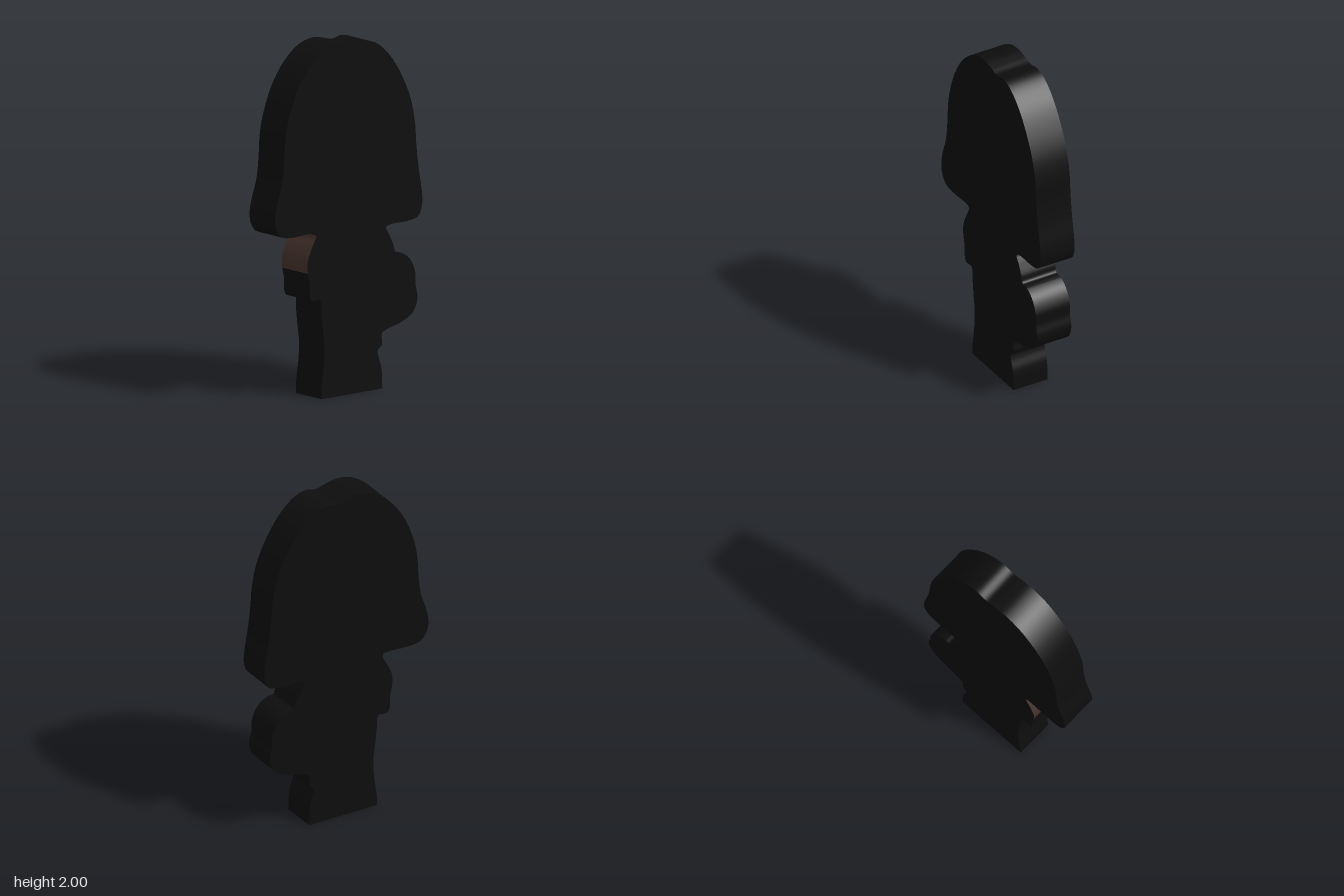
import * as THREE from 'three';
import { toCreasedNormals } from 'three/addons/utils/BufferGeometryUtils.js';

const DEPTH = 0.22;

// Silhouette, walked from the right foot over the hair to the left foot
const rightSide = [
  [-0.2, 0], [-0.199, 0.06], [-0.182, 0.18], [-0.177, 0.29], [-0.19, 0.4], [-0.2, 0.5], [-0.202, 0.55],
  [-0.215, 0.567], [-0.24, 0.565], [-0.267, 0.566], [-0.282, 0.587], [-0.285, 0.66], [-0.3, 0.74],
  [-0.297, 0.8], [-0.27, 0.865], [-0.24, 0.922], [-0.243, 0.943],
];
const hair = [
  [-0.27, 0.95], [-0.42, 0.945], [-0.49, 0.96], [-0.527, 1.01], [-0.535, 1.07], [-0.52, 1.15],
  [-0.487, 1.25], [-0.472, 1.36], [-0.46, 1.52], [-0.43, 1.64], [-0.37, 1.78], [-0.28, 1.9],
  [-0.18, 1.975], [-0.08, 2], [0, 1.988], [0.06, 1.973], [0.13, 1.985], [0.2, 1.965], [0.3, 1.88],
  [0.39, 1.745], [0.45, 1.61], [0.48, 1.47], [0.488, 1.36], [0.505, 1.22], [0.53, 1.07], [0.53, 1],
  [0.505, 0.945], [0.45, 0.927], [0.3, 0.922],
];
const leftSide = [
  [0.27, 0.91], [0.29, 0.87], [0.325, 0.8], [0.337, 0.757], [0.38, 0.75], [0.44, 0.71], [0.48, 0.63],
  [0.483, 0.56], [0.497, 0.48], [0.47, 0.41], [0.4, 0.365], [0.26, 0.327], [0.238, 0.31], [0.24, 0.25],
  [0.21, 0.222], [0.213, 0.19], [0.235, 0.12], [0.242, 0],
];

export function createModel() {
  const black = new THREE.MeshStandardMaterial({ color: 0x0d0d0d });
  black.name = 'black';
  const brown = new THREE.MeshStandardMaterial({ color: 0x42302a });
  brown.name = 'brown';

  const points = [...rightSide, ...hair, ...leftSide].map(([x, y]) => new THREE.Vector3(x, y, 0));
  const curve = new THREE.CatmullRomCurve3(points, false, 'centripetal');
  const outline = curve.getPoints((points.length - 1) * 5).map((p) => new THREE.Vector2(p.x, Math.max(0, p.y)));

  let geometry = new THREE.ExtrudeGeometry(new THREE.Shape(outline), { depth: DEPTH, bevelEnabled: false });
  geometry.translate(0, 0, -DEPTH / 2);
  geometry = toCreasedNormals(geometry, 0.6);

  // Brown wall strip on the right upper arm; everything else is black
  const wall = geometry.groups[1];
  const pos = geometry.attributes.position;
  let first = Infinity, last = -1;
  for (let i = wall.start; i < wall.start + wall.count; i += 6) {
    const x = (pos.getX(i) + pos.getX(i + 1) + pos.getX(i + 2)) / 3;
    const y = (pos.getY(i) + pos.getY(i + 1) + pos.getY(i + 2)) / 3;
    if (x < -0.22 && x > -0.32 && y > 0.72 && y < 0.935) {
      first = Math.min(first, i);
      last = Math.max(last, i + 6);
    }
  }
  geometry.clearGroups();
  geometry.addGroup(0, first, 0);
  geometry.addGroup(first, last - first, 1);
  geometry.addGroup(last, pos.count - last, 0);

  const figure = new THREE.Mesh(geometry, [black, brown]);
  figure.name = 'figureCutout';
  const model = new THREE.Group();
  model.name = 'flatFigure';
  model.add(figure);
  return model;
}
